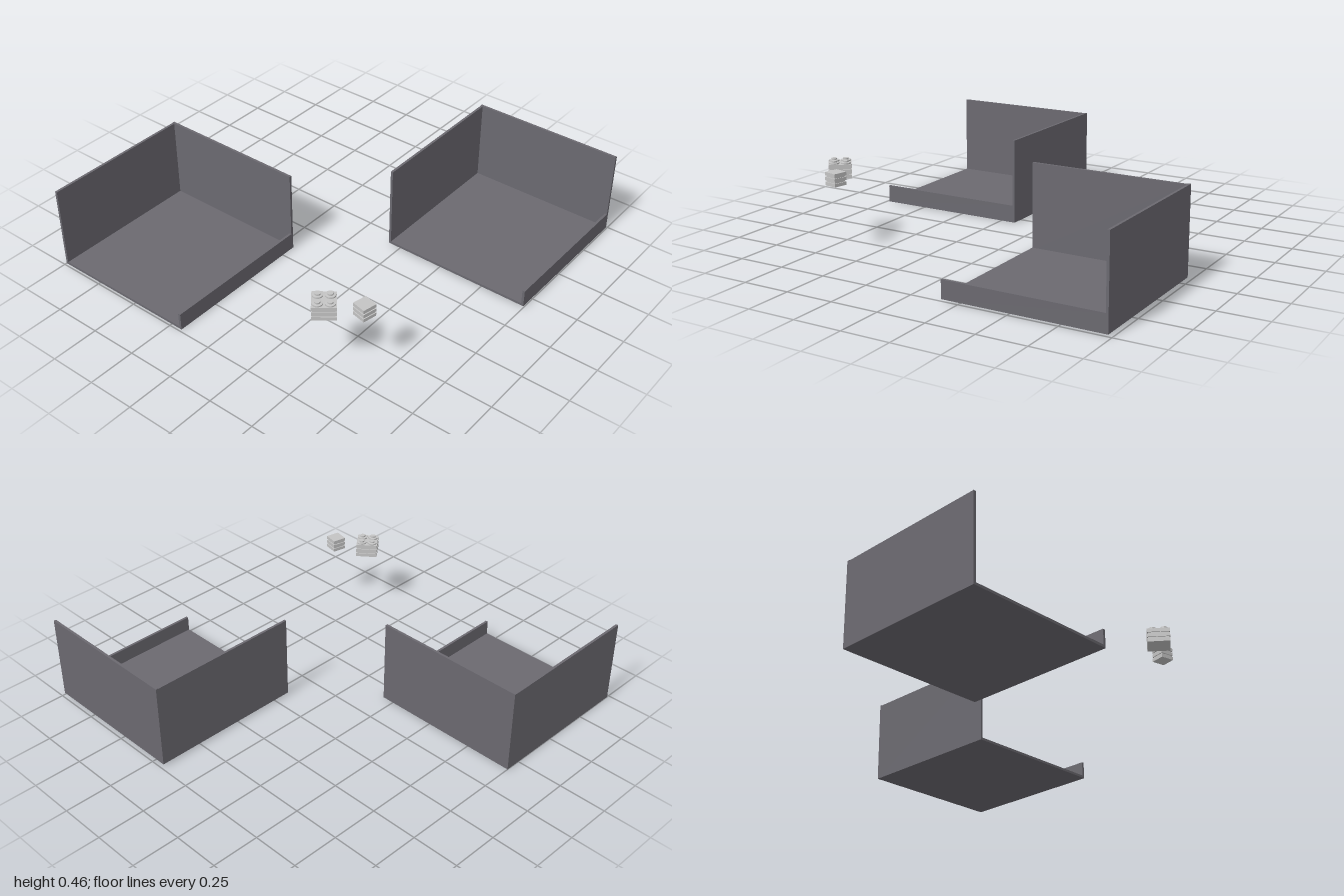
import * as THREE from 'three';

const trayGrey = new THREE.MeshStandardMaterial({ color: 0x6b6970 });
trayGrey.name = 'trayGrey';
const lightGrey = new THREE.MeshStandardMaterial({ color: 0xc4c4c4 });
lightGrey.name = 'lightGrey';

// Box given by its minimum and maximum corners
function box(name, min, max, material) {
  const size = max.map((v, i) => v - min[i]);
  const mesh = new THREE.Mesh(new THREE.BoxGeometry(...size), material);
  mesh.position.set(...max.map((v, i) => (v + min[i]) / 2));
  mesh.name = name;
  return mesh;
}

// Tray open on one side: floor, two tall walls and a low front lip
function makeTray(name, x, y, z) {
  const w = 0.82, h = 0.445, d = 0.815, t = 0.013, lip = 0.092;
  const tray = new THREE.Group();
  tray.name = name;
  tray.add(
    box('floor', [0, 0, t], [w - t, t, d - t], trayGrey),
    box('backWall', [0, 0, 0], [w - t, h, t], trayGrey),
    box('sideWall', [w - t, 0, 0], [w, h + 0.002, d - t], trayGrey),
    box('sideWallEnd', [w - t, lip, d - t], [w, h + 0.002, d], trayGrey),
    box('frontLip', [0, 0, d - t], [w, lip, d], trayGrey)
  );
  tray.position.set(x, y, z);
  return tray;
}

// Small square block with two horizontal grooves around its sides
function makeBlock(name, size, height) {
  const block = new THREE.Group();
  block.name = name;
  const r = size / 2, inner = r - 0.005, slab = height * 0.26;
  block.add(box('core', [-inner, 0.002, -inner], [inner, height - 0.002, inner], lightGrey));
  for (let i = 0; i < 3; i++) {
    const y = i * (height - slab) / 2;
    block.add(box('layer', [-r, y, -r], [r, y + slab, r], lightGrey));
  }
  return block;
}

export function createModel() {
  const model = new THREE.Group();
  model.name = 'traysAndBlocks';
  model.add(makeTray('backTray', -0.987, 0, -1));
  model.add(makeTray('frontTray', 0.163, 0.01, 0.185));

  // Larger block with four stepped studs
  const studded = makeBlock('studdedBlock', 0.114, 0.072);
  const profile = [[0.025, 0], [0.025, 0.007], [0.014, 0.008], [0.014, 0.016], [0, 0.016]]
    .map(([r, y]) => new THREE.Vector2(r, y));
  const studGeometry = new THREE.LatheGeometry(profile, 20).toNonIndexed();
  studGeometry.computeVertexNormals();
  for (const sx of [-1, 1]) for (const sz of [-1, 1]) {
    const stud = new THREE.Mesh(studGeometry, lightGrey);
    stud.name = 'stud';
    stud.position.set(sx * 0.029, 0.072, sz * 0.029);
    studded.add(stud);
  }
  studded.position.set(-0.765, 0.335, 0.513);
  studded.rotation.y = 0.67;
  model.add(studded);

  // Smaller plain block
  const small = makeBlock('smallBlock', 0.073, 0.066);
  small.position.set(-0.671, 0.338, 0.667);
  small.rotation.y = -0.21;
  model.add(small);
  return model;
}
